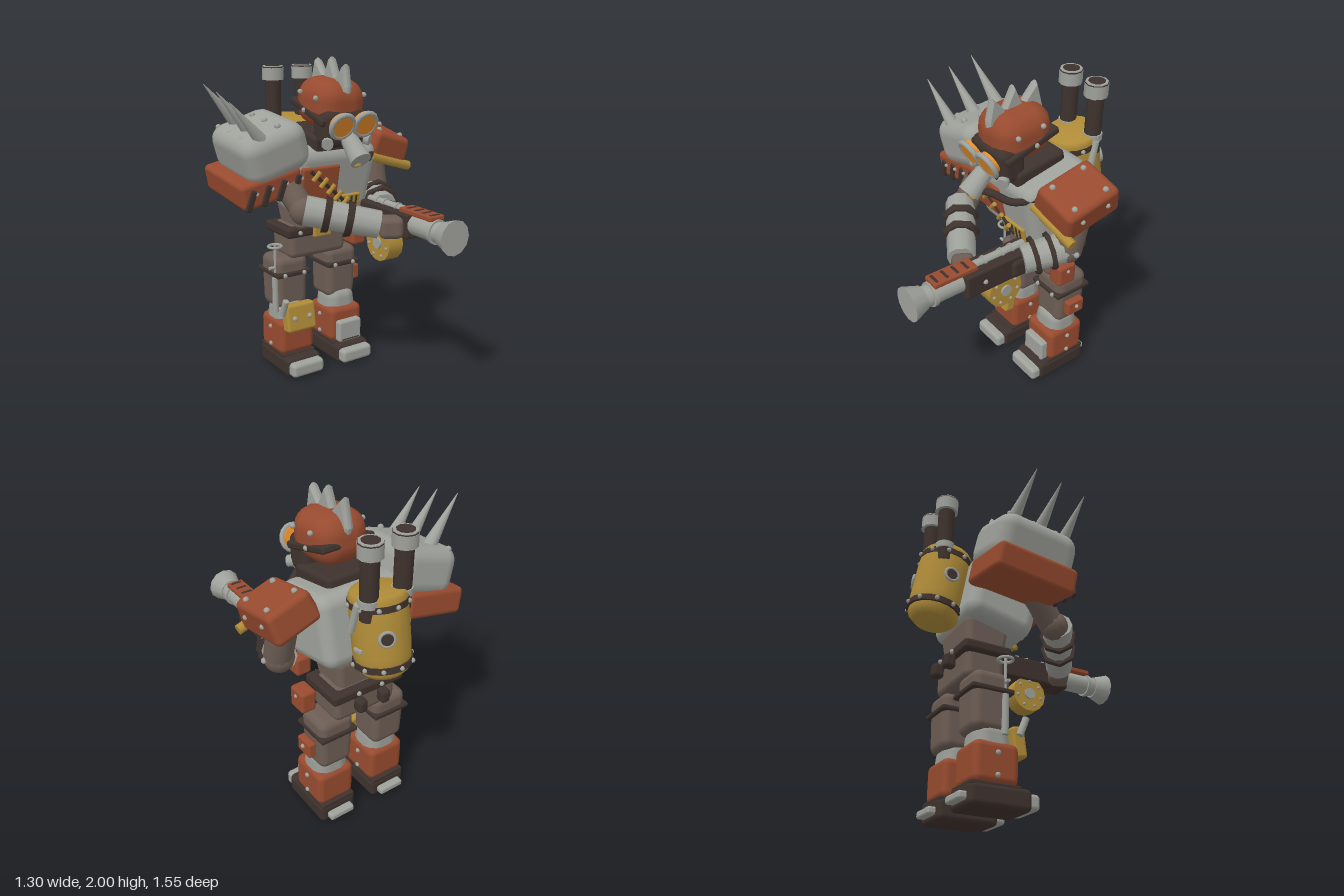
import * as THREE from 'three';
import { RoundedBoxGeometry } from 'three/addons/geometries/RoundedBoxGeometry.js';

const mat = (name, color) => Object.assign(new THREE.MeshStandardMaterial({ color }), { name });
const V = (p) => new THREE.Vector3(...p);

export function createModel() {
  const root = new THREE.Group();
  root.name = 'armouredTrooper';
  const steel = mat('steel', 0x9fa19b), rust = mat('rust', 0x984b2f), gold = mat('brass', 0xb08c38);
  const dark = mat('darkLeather', 0x3e322d), cloth = mat('brownCloth', 0x6c5d54), lens = mat('orangeLens', 0xfa9a30);

  const add = (parent, name, geo, m, pos = [0, 0, 0], rot = [0, 0, 0]) => {
    const mesh = new THREE.Mesh(geo, m);
    mesh.name = name;
    mesh.position.set(...pos);
    mesh.rotation.set(...rot);
    parent.add(mesh);
    return mesh;
  };
  const group = (parent, name, pos, rot = [0, 0, 0]) => {
    const g = new THREE.Group();
    g.name = name;
    g.position.set(...pos);
    g.rotation.set(...rot);
    parent.add(g);
    return g;
  };
  // rounded box; taper scales the bottom (tb) and top (tt) cross-sections
  const box = (parent, name, m, size, pos, rot, r = 0.02, tb = 1, tt = 1) => {
    const geo = new RoundedBoxGeometry(...size, 2, Math.min(r, Math.min(...size) * 0.48));
    const p = geo.attributes.position;
    if (tb !== 1 || tt !== 1) {
      for (let i = 0; i < p.count; i++) {
        const s = THREE.MathUtils.lerp(tb, tt, p.getY(i) / size[1] + 0.5);
        p.setXYZ(i, p.getX(i) * s, p.getY(i), p.getZ(i) * s);
      }
    }
    return add(parent, name, geo, m, pos, rot);
  };
  // cylinder or cone from a to b
  const rod = (parent, name, m, a, b, r1, r2 = r1, seg = 14) => {
    const dir = V(b).sub(V(a));
    const mesh = add(parent, name, new THREE.CylinderGeometry(r2, r1, dir.length(), seg), m);
    mesh.position.copy(V(a).add(V(b)).multiplyScalar(0.5));
    mesh.quaternion.setFromUnitVectors(new THREE.Vector3(0, 1, 0), dir.normalize());
    return mesh;
  };
  const bolt = (parent, pos, r = 0.015) => add(parent, 'bolt', new THREE.SphereGeometry(r, 8, 6), steel, pos);

  // legs and boots
  for (const [side, x] of [['right', -0.125], ['left', 0.255]]) {
    const leg = group(root, side + 'Leg', [x, 0, 0]);
    box(leg, 'sole', dark, [0.25, 0.125, 0.37], [0, 0.0625, -0.295], [0, 0, 0], 0.03);
    box(leg, 'toeCap', steel, [0.23, 0.09, 0.08], [0, 0.06, -0.097], [0, 0, 0], 0.025);
    box(leg, 'heelCap', steel, [0.17, 0.045, 0.06], [0, 0.055, -0.495], [0, 0, 0], 0.015);
    box(leg, 'bootBand', dark, [0.235, 0.03, 0.3], [0, 0.12, -0.325], [0, 0, 0], 0.01);
    box(leg, 'shinArmour', rust, [0.25, 0.235, 0.27], [0, 0.24, -0.325], [0, 0, 0], 0.04);
    box(leg, 'kneeJoint', steel, [0.23, 0.23, 0.23], [0, 0.37, -0.33], [0, 0, 0], 0.08, 1.05, 0.85);
    box(leg, 'thigh', cloth, [0.235, 0.35, 0.23], [0, 0.585, -0.355], [0, 0, 0], 0.05, 0.93, 1);
    box(leg, 'thighStrap', dark, [0.25, 0.03, 0.26], [0, 0.65, -0.355], [0, 0, 0], 0.01);
    for (const s of [-1, 1]) {
      for (const y of [0.17, 0.29]) bolt(leg, [s * 0.127, y, -0.325]);
      bolt(leg, [s * 0.07, 0.65, -0.225]);
    }
  }
  box(root, 'shinPlate', steel, [0.175, 0.145, 0.06], [0.255, 0.2, -0.175], [0, 0, 0], 0.015);
  box(root, 'shinSlot', dark, [0.14, 0.008, 0.008], [0.255, 0.145, -0.143]);
  const knee = group(root, 'kneePlate', [-0.125, 0.38, -0.18], [-0.15, 0, 0]);
  box(knee, 'kneeGuard', gold, [0.21, 0.18, 0.08], [0, 0, 0], [0, 0, 0], 0.02);
  for (const s of [-1, 1]) bolt(knee, [s * 0.055, 0, 0.042], 0.017);
  box(root, 'thighPouch', rust, [0.05, 0.1, 0.125], [0.395, 0.55, -0.347], [0, 0, 0], 0.012);
  bolt(root, [0.423, 0.56, -0.347], 0.014);
  // valve on the outer right leg
  rod(root, 'valveSpout', steel, [-0.238, 0.41, -0.19], [-0.238, 0.515, -0.15], 0.02);
  rod(root, 'valveBody', steel, [-0.238, 0.4, -0.28], [-0.238, 0.63, -0.28], 0.02);
  rod(root, 'valveStem', steel, [-0.235, 0.63, -0.28], [-0.235, 0.85, -0.28], 0.009);
  add(root, 'valveWheel', new THREE.TorusGeometry(0.042, 0.009, 6, 14), steel, [-0.235, 0.84, -0.28], [Math.PI / 2, 0, 0]);
  rod(root, 'valveHandle', steel, [-0.28, 0.7, -0.28], [-0.22, 0.7, -0.28], 0.01);

  // hips and belt
  box(root, 'pelvis', cloth, [0.42, 0.22, 0.24], [0.065, 0.85, -0.355], [0, 0, 0], 0.04);
  box(root, 'belt', dark, [0.49, 0.065, 0.3], [0.065, 0.922, -0.355], [0, 0, 0], 0.02);
  box(root, 'buckle', gold, [0.13, 0.08, 0.03], [0.065, 0.92, -0.2], [0, 0, 0], 0.01);
  box(root, 'waist', cloth, [0.36, 0.22, 0.26], [0.065, 1.03, -0.33], [0, 0, 0], 0.04, 0.9, 1.1);
  box(root, 'hipPouch', rust, [0.1, 0.14, 0.13], [0.36, 0.84, -0.265], [0, 0, 0], 0.02);
  bolt(root, [0.41, 0.87, -0.265], 0.012);
  for (const s of [-1, 1]) {
    box(root, 'backPouch', dark, [0.06, 0.085, 0.07], [0.065 + s * 0.08, 0.86, -0.525], [0, 0, 0], 0.02);
    bolt(root, [0.065 + s * 0.16, 0.922, -0.2]);
    bolt(root, [0.065 + s * 0.08, 0.925, -0.507]);
  }

  // torso, chest plate, bandolier and vent
  const torso = group(root, 'torso', [0.065, 1.3, -0.25], [0.2, 0, 0]);
  box(torso, 'torsoShell', steel, [0.59, 0.45, 0.46], [0, 0, 0], [0, 0, 0], 0.08, 0.92, 1);
  box(torso, 'chestPlate', rust, [0.26, 0.22, 0.04], [-0.13, 0.015, 0.222], [0, 0, 0], 0.015);
  const band = group(torso, 'bandolier', [-0.06, -0.02, 0.243], [0, 0, -0.7]);
  box(band, 'strap', dark, [0.4, 0.022, 0.014], [0, 0, 0], [0, 0, 0], 0.005);
  for (let i = 0; i < 5; i++) rod(band, 'cartridge', gold, [-0.15 + i * 0.075, -0.035, 0.012], [-0.15 + i * 0.075, 0.035, 0.012], 0.014, 0.014, 8);
  box(torso, 'vent', gold, [0.2, 0.1, 0.04], [0.08, -0.135, 0.215], [0, 0, 0], 0.01);
  for (let i = 0; i < 5; i++) box(torso, 'ventSlat', dark, [0.014, 0.08, 0.02], [0.01 + i * 0.035, -0.135, 0.23], [0, 0, 0], 0.004);
  box(root, 'collar', dark, [0.345, 0.15, 0.34], [0.065, 1.505, -0.18], [0.15, 0, 0], 0.03);

  // head
  const head = group(root, 'head', [0.065, 1.735, -0.105], [0.08, 0, 0]);
  box(head, 'helmet', rust, [0.335, 0.3, 0.37], [0, 0, 0], [0, 0, 0], 0.125);
  box(head, 'helmetBand', dark, [0.345, 0.045, 0.37], [0, -0.045, 0], [0.22, 0, 0], 0.015);
  box(head, 'faceMask', dark, [0.31, 0.22, 0.17], [0, -0.125, 0.12], [0, 0, 0], 0.05);
  for (const s of [-1, 1]) {
    for (const [y, z] of [[0.05, 0.1], [0.06, -0.07], [-0.04, -0.02]]) bolt(head, [s * 0.17, y, z], 0.016);
    // goggles
    const eye = group(root, 'goggle', [0.065 + s * 0.08, 1.625, 0.14], [0.42, 0, 0]);
    add(eye, 'goggleRim', new THREE.TorusGeometry(0.073, 0.016, 8, 16), steel);
    rod(eye, 'goggleLens', lens, [0, 0, -0.035], [0, 0, 0.012], 0.068, 0.066, 18);
    rod(root, 'maskFilter', steel, [0.065 + s * 0.1, 1.54, 0.02], [0.065 + s * 0.15, 1.52, 0.09], 0.03, 0.035, 10);
  }
  rod(root, 'snout', steel, [0.065, 1.55, 0.08], [0.065, 1.43, 0.21], 0.05, 0.065);
  rod(root, 'snoutRing', gold, [0.065, 1.45, 0.165], [0.065, 1.395, 0.175], 0.028, 0.028, 10);
  // helmet crest: one bevelled sawtooth blade, drawn over [-z, y]
  const teeth = [[-0.085, 1.8], [-0.085, 1.835], [-0.055, 1.965], [0.025, 1.88], [0.088, 2], [0.145, 1.88], [0.24, 1.985], [0.29, 1.825], [0.28, 1.78]];
  const crest = new THREE.Shape(teeth.map((p) => new THREE.Vector2(...p)));
  const bevel = { depth: 0.015, bevelThickness: 0.02, bevelSize: 0.012, bevelOffset: -0.012, bevelSegments: 1 };
  add(root, 'crest', new THREE.ExtrudeGeometry(crest, bevel), steel, [0.058, 0, 0], [0, Math.PI / 2, 0]);
  const hose = new THREE.CatmullRomCurve3([[0.09, 1.44, 0.14], [0.15, 1.43, 0.1], [0.24, 1.4, 0.04], [0.34, 1.43, -0.06]].map(V));
  add(root, 'breathingHose', new THREE.TubeGeometry(hose, 16, 0.022, 8), dark);

  // back tank with bands, gauges and exhausts
  const tank = group(root, 'backTank', [0.065, 1.355, -0.572], [0.17, 0, 0]);
  const prof = [[0, -0.24], [0.11, -0.24], [0.15, -0.2], [0.16, -0.1], [0.16, 0.1], [0.16, 0.21], [0.145, 0.24], [0, 0.24]];
  add(tank, 'tankShell', new THREE.LatheGeometry(prof.map((p) => new THREE.Vector2(...p)), 18), gold);
  for (const y of [-0.165, 0.18]) {
    rod(tank, 'tankBand', dark, [0, y - 0.018, 0], [0, y + 0.018, 0], 0.165, 0.165, 18);
    for (let i = 0; i < 10; i++) bolt(tank, [0.165 * Math.sin(i * 0.628), y, 0.165 * Math.cos(i * 0.628)], 0.014);
  }
  for (const a of [2.7, 4.71]) {
    const gauge = group(tank, 'gauge', [0.162 * Math.sin(a), 0.02, 0.162 * Math.cos(a)], [0, a, 0]);
    add(gauge, 'gaugeRim', new THREE.TorusGeometry(0.04, 0.01, 6, 14), steel);
    rod(gauge, 'gaugeFace', dark, [0, 0, -0.02], [0, 0, 0.006], 0.039);
  }
  box(tank, 'tankLatch', steel, [0.02, 0.025, 0.06], [0.16, -0.06, -0.01], [0, 0, 0], 0.006);
  rod(root, 'tankLever', steel, [0.235, 1.4, -0.54], [0.225, 1.57, -0.58], 0.022, 0.022, 8);
  for (const x of [-0.043, 0.173]) {
    rod(root, 'exhaustPipe', dark, [x, 1.48, -0.6], [x, 1.9, -0.6], 0.05);
    rod(root, 'exhaustCollar', steel, [x, 1.56, -0.6], [x, 1.6, -0.6], 0.058);
    rod(root, 'exhaustCap', steel, [x, 1.835, -0.6], [x, 1.91, -0.6], 0.07, 0.07, 10);
    rod(root, 'exhaustRim', dark, [x, 1.905, -0.6], [x, 1.92, -0.6], 0.07, 0.066, 10);
    rod(root, 'exhaustLip', steel, [x, 1.91, -0.6], [x, 1.922, -0.6], 0.068, 0.066, 10);
    rod(root, 'exhaustMouth', dark, [x, 1.91, -0.6], [x, 1.925, -0.6], 0.05, 0.05, 10);
  }

  // spiked right shoulder
  const pad = group(root, 'rightShoulder', [-0.348, 1.492, -0.23], [0.1, 0, 0.3]);
  box(pad, 'shoulderShell', steel, [0.42, 0.29, 0.51], [0, 0, 0], [0, 0, 0], 0.09);
  for (const z of [-0.15, 0, 0.15]) {
    bolt(pad, [0.06, 0.145, z + 0.02], 0.02);
    bolt(pad, [-0.14, 0.13, z - 0.05], 0.018);
  }
  for (const [z, y] of [[-0.32, 1.86], [-0.155, 1.83], [0, 1.79]]) rod(root, 'shoulderSpike', steel, [-0.39, y - 0.29, z - 0.045], [-0.65, y, z], 0.05, 0.002, 12);
  const under = group(root, 'rightShoulderSkirt', [-0.385, 1.3, -0.26], [0.1, 0, 0.2]);
  box(under, 'skirtPlate', rust, [0.4, 0.16, 0.5], [0, 0, 0], [0, 0, 0], 0.03);
  for (let i = 0; i < 4; i++) {
    box(under, 'skirtClaw', dark, [0.04, 0.13, 0.025], [-0.15 + i * 0.1, -0.02, 0.25], [0, 0, -0.5], 0.01);
    bolt(under, [-0.11 + i * 0.1, 0.01, 0.252], 0.014);
  }

  // plated left shoulder
  const plate = group(root, 'leftShoulder', [0.482, 1.45, -0.22], [0.2, 0, -0.3]);
  box(plate, 'shoulderPlate', rust, [0.3, 0.185, 0.39], [0, 0, 0], [0, 0, 0], 0.035, 1.02, 0.92);
  rod(plate, 'shoulderTrim', gold, [-0.14, -0.07, 0.185], [0.185, -0.07, 0.185], 0.03, 0.03, 8);
  for (const x of [-0.09, 0.09]) for (const z of [-0.11, 0.11]) bolt(plate, [x, 0.092, z], 0.018);
  for (const z of [-0.09, 0.09]) bolt(plate, [0.145, 0.02, z]);

  // arms with flared straps
  const forearm = (name, a, b, r, stops) => {
    const g = group(root, name, [0, 0, 0]);
    rod(g, 'forearmPlate', steel, a, b, r, r * 0.92, 10);
    for (const t of stops) {
      const p = (u) => V(a).lerp(V(b), u).toArray();
      rod(g, 'forearmStrap', dark, p(t - 0.045), p(t + 0.045), r * 1.25, r * 1.15, 7);
    }
  };
  rod(root, 'rightUpperArm', cloth, [-0.28, 1.37, -0.17], [-0.22, 1.14, 0.04], 0.085, 0.075, 12);
  add(root, 'rightElbow', new THREE.SphereGeometry(0.085, 12, 8), cloth, [-0.225, 1.14, 0.05]);
  forearm('rightForearm', [-0.23, 1.15, 0.07], [0.13, 1.065, 0.31], 0.09, [0.3, 0.6]);
  box(root, 'rightGlove', cloth, [0.14, 0.13, 0.13], [0.19, 1.05, 0.34], [0, -0.5, 0], 0.035);
  rod(root, 'leftUpperArm', cloth, [0.465, 1.4, -0.25], [0.47, 1.13, -0.19], 0.09, 0.085, 12);
  add(root, 'leftElbow', new THREE.SphereGeometry(0.09, 12, 8), cloth, [0.465, 1.12, -0.19]);
  bolt(root, [0.555, 1.125, -0.18], 0.018);
  forearm('leftForearm', [0.46, 1.125, -0.2], [0.36, 1.08, 0.05], 0.095, [0.4, 0.75]);
  box(root, 'leftGlove', dark, [0.13, 0.13, 0.13], [0.33, 1.05, 0.08], [0, 0, 0], 0.035);

  // gun
  const gun = group(root, 'gun', [0.295, 1.07, 0]);
  box(gun, 'gunBody', dark, [0.15, 0.15, 0.46], [0.008, -0.01, 0.21], [0, 0, 0], 0.015);
  box(gun, 'gunStock', rust, [0.1, 0.12, 0.2], [0.03, -0.05, -0.13], [0, 0, 0], 0.02);
  rod(gun, 'topTube', steel, [0, 0.065, 0], [0, 0.065, 0.36], 0.025, 0.025, 10);
  for (const z of [0.08, 0.15, 0.27]) rod(gun, 'tubeRing', steel, [0, 0.065, z], [0, 0.065, z + 0.015], 0.032, 0.032, 10);
  rod(gun, 'barrel', steel, [0, 0, 0.4], [0, 0, 0.68], 0.062);
  rod(gun, 'barrelRing', steel, [0, 0, 0.61], [0, 0, 0.635], 0.073);
  rod(gun, 'muzzle', steel, [0, 0, 0.675], [0, 0, 0.77], 0.07, 0.103, 12);
  box(gun, 'topRail', rust, [0.105, 0.03, 0.28], [0, 0.077, 0.485], [0, 0, 0], 0.008);
  for (let i = 0; i < 4; i++) box(gun, 'railSlot', dark, [0.07, 0.008, 0.018], [0, 0.091, 0.4 + i * 0.066], [0, 0, 0], 0.003);
  bolt(gun, [0.083, -0.01, 0.32]);
  // ammunition drum
  rod(root, 'drum', gold, [0.24, 0.895, 0.155], [0.345, 0.895, 0.155], 0.115, 0.115, 14);
  for (const x of [0.24, 0.345]) {
    rod(root, 'drumHub', steel, [x - 0.012, 0.895, 0.155], [x + 0.012, 0.895, 0.155], 0.036, 0.036, 12);
    for (let i = 0; i < 7; i++) bolt(root, [x, 0.895 + 0.085 * Math.cos(i * 0.898), 0.155 + 0.085 * Math.sin(i * 0.898)], 0.011);
  }
  return root;
}
